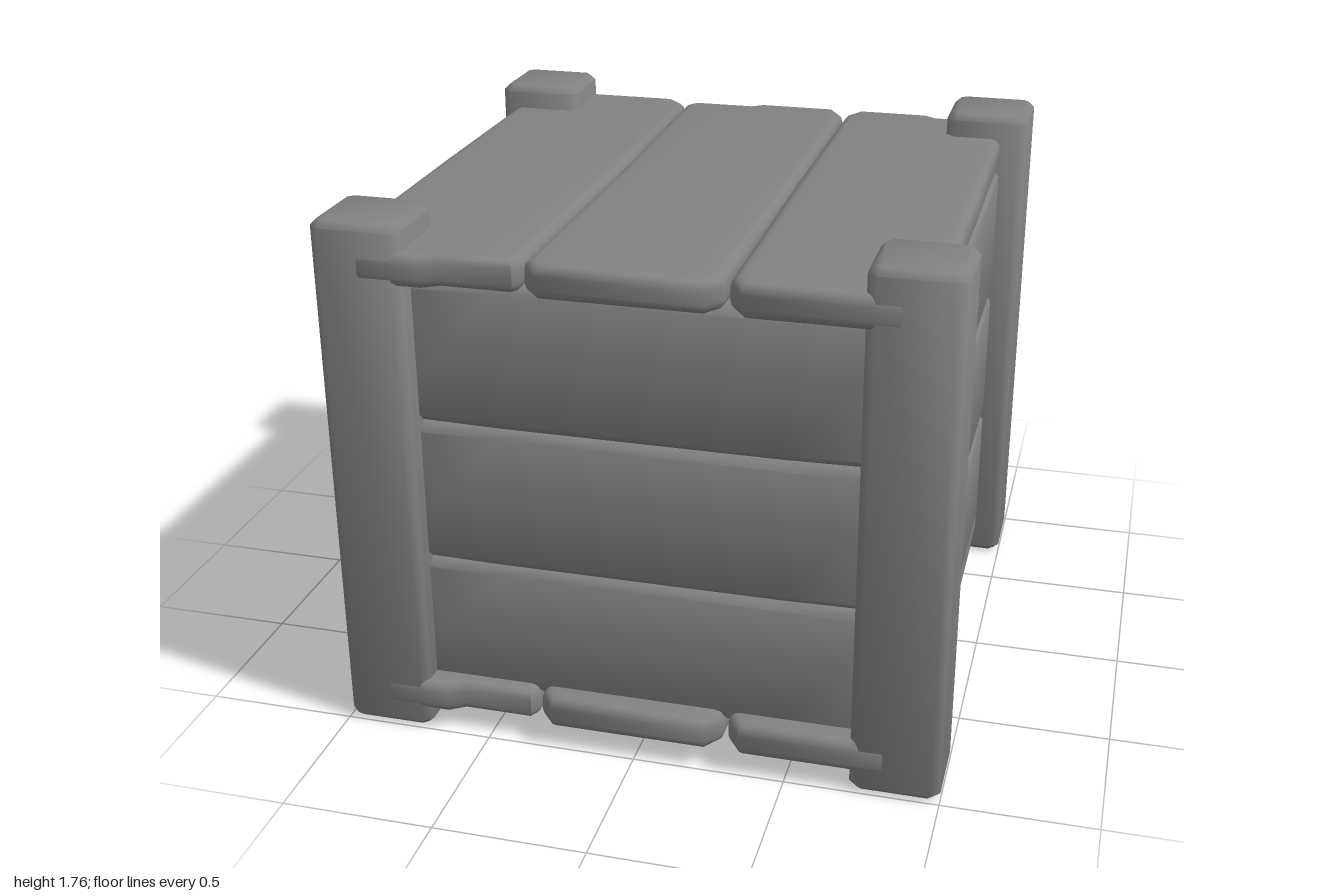
import * as THREE from 'three';
import { toCreasedNormals } from 'three/addons/utils/BufferGeometryUtils.js';

const material = new THREE.MeshStandardMaterial({ color: 0x828282 });

// Outline extruded along z, centred on z = 0, with rounded rims kept inside the outline.
function slab(outline, thickness, bevel, segments, crease) {
  const shape = new THREE.Shape(outline.map(([x, y]) => new THREE.Vector2(x, y)));
  const geometry = new THREE.ExtrudeGeometry(shape, {
    depth: thickness - 2 * bevel, bevelThickness: bevel,
    bevelSize: bevel, bevelOffset: -bevel, bevelSegments: segments,
  });
  geometry.translate(0, 0, bevel - thickness / 2);
  return toCreasedNormals(geometry, crease);
}

function add(parent, name, geometry) {
  const mesh = new THREE.Mesh(geometry, material);
  mesh.name = name;
  parent.add(mesh);
  return mesh;
}

export function createModel() {
  const crate = new THREE.Group();
  crate.name = 'crate';

  // Corner posts: square with softened corners
  const h = 0.146, c = 0.03;
  const postOutline = [
    [-h + c, -h], [h - c, -h], [h, -h + c], [h, h - c],
    [h - c, h], [-h + c, h], [-h, h - c], [-h, -h + c],
  ];
  const postGeometry = slab(postOutline, 1.76, 0.022, 1, 0.9);
  postGeometry.rotateX(-Math.PI / 2);
  for (const x of [-1, 1]) {
    for (const z of [-1, 1]) {
      const side = x > 0 ? 'Left' : 'Right';
      const post = add(crate, (z > 0 ? 'front' : 'back') + side + 'Post', postGeometry);
      post.position.set(x * 0.853, 0.88, z * 0.85);
    }
  }

  // Lid and floor planks: plan outlines (x, z) with worn ends
  const plankOutlines = [
    [[-0.95, -0.96], [-0.9, -1], [-0.4, -1], [-0.335, -0.93], [-0.327, 0], [-0.34, 0.93],
      [-0.36, 0.965], [-0.59, 0.965], [-0.64, 0.998], [-0.84, 0.998], [-0.95, 0.94], [-0.956, 0]],
    [[-0.332, -0.92], [-0.3, -0.97], [-0.08, -0.97], [-0.04, -1], [0.24, -1], [0.287, -0.92],
      [0.29, 0], [0.285, 0.93], [0.24, 0.995], [-0.28, 0.995], [-0.327, 0.94], [-0.322, 0]],
    [[0.297, -0.92], [0.34, -1], [0.6, -1], [0.64, -0.97], [0.87, -0.97], [0.905, -0.93],
      [0.91, 0], [0.905, 0.94], [0.81, 0.998], [0.35, 0.998], [0.302, 0.93], [0.294, 0]],
  ];
  const deckNames = ['right', 'middle', 'left'];
  plankOutlines.forEach((outline, i) => {
    const geometry = slab(outline, 0.11, 0.032, 3, 1.0);
    geometry.rotateX(Math.PI / 2);
    add(crate, deckNames[i] + 'LidPlank', geometry).position.y = 1.623;
    add(crate, deckNames[i] + 'FloorPlank', geometry).position.y = 0.124;
  });

  // Three wall planks per side, cushioned, with slightly bowed long edges
  const wallGeometries = [[0.135, 0.601], [0.599, 1.086], [1.087, 1.57]].map(([low, high]) =>
    slab([
      [-0.86, low + 0.008], [-0.45, low], [0.45, low], [0.86, low + 0.008],
      [0.86, high - 0.005], [0.45, high], [-0.45, high], [-0.86, high - 0.005],
    ], 0.11, 0.026, 1, 0.9));
  ['front', 'left', 'back', 'right'].forEach((side, k) => {
    const wall = new THREE.Group();
    wall.name = side + 'Wall';
    wall.rotation.y = k * Math.PI / 2;
    wallGeometries.forEach((geometry, i) => {
      const plank = add(wall, ['lower', 'middle', 'upper'][i] + 'WallPlank', geometry);
      plank.position.z = k % 2 ? 0.852 : 0.86;
    });
    crate.add(wall);
  });

  return crate;
}
